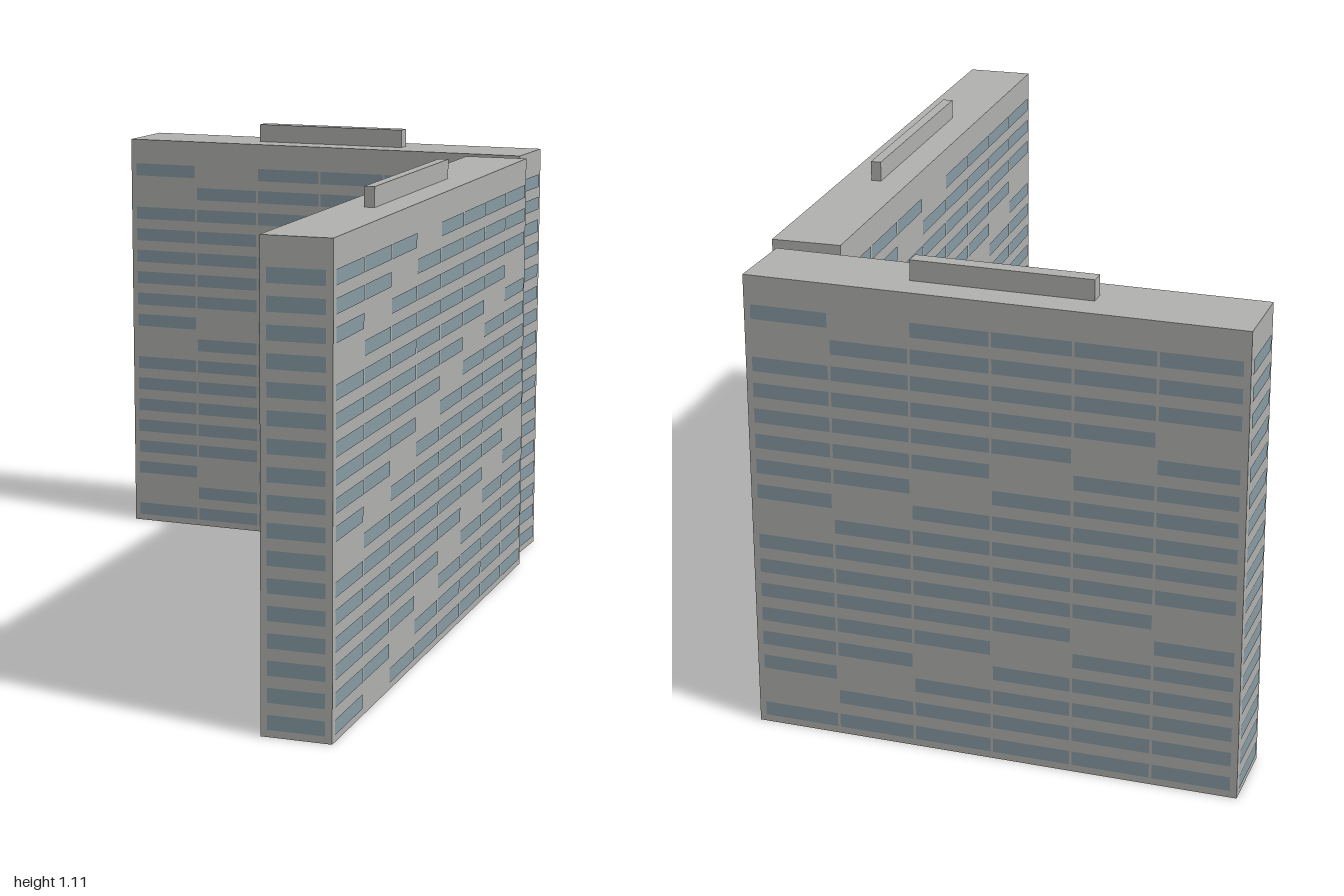
import * as THREE from 'three';
import { mergeGeometries } from 'three/addons/utils/BufferGeometryUtils.js';

const HEIGHT = 1.065, FLOORS = 17, FLOOR_STEP = 0.0594, FIRST_FLOOR = 0.033;
const MARGIN = 0.012, GAP = 0.006, WINDOW_HEIGHT = 0.033, OFFSET = 0.0015;

// Box without its underside, standing on y = base
function openBox(length, height, depth, base) {
  const g = new THREE.BoxGeometry(length, height, depth);
  const index = Array.from(g.index.array);
  index.splice(18, 6);
  g.setIndex(index);
  g.clearGroups();
  return g.translate(0, base + height / 2, 0);
}

// Window bands of one facade; a blank bay steps sideways on each floor
function windowBands(width, bays, blank) {
  const pitch = (width - 2 * MARGIN) / bays;
  const panes = [];
  for (let floor = 0; floor < FLOORS; floor++) {
    for (let bay = 0; bay < bays; bay++) {
      const fromTop = FLOORS - 1 - floor;
      if (blank !== null && (bay + fromTop) % 7 === blank) continue;
      const pane = new THREE.PlaneGeometry(pitch - GAP, WINDOW_HEIGHT);
      pane.translate(-width / 2 + MARGIN + (bay + 0.5) * pitch, FIRST_FLOOR + floor * FLOOR_STEP, 0);
      panes.push(pane);
    }
  }
  return mergeGeometries(panes);
}

export function createModel() {
  const wall = new THREE.MeshStandardMaterial({ color: 0xb2b2b0, side: THREE.DoubleSide });
  wall.name = 'concrete';
  const glass = new THREE.MeshStandardMaterial({ color: 0x889ca5 });
  glass.name = 'glass';

  const model = new THREE.Group();
  model.name = 'slabBuildings';

  function addMesh(parent, name, geometry, material) {
    const mesh = new THREE.Mesh(geometry, material);
    mesh.name = name;
    parent.add(mesh);
    return mesh;
  }

  function addBlock(o) {
    const block = new THREE.Group();
    block.name = o.name;
    addMesh(block, 'walls', openBox(o.length, HEIGHT, o.depth, 0), wall);
    addMesh(block, 'roofHousing', openBox(o.roof[0], 0.046, o.roof[1], HEIGHT), wall);
    // Two long facades and two end walls
    for (let side = 0; side < 4; side++) {
      const isEnd = side % 2 === 1;
      const bands = isEnd ? windowBands(o.depth, 1, null) : windowBands(o.length, o.bays, o.blank);
      bands.translate(0, 0, (isEnd ? o.length : o.depth) / 2 + OFFSET);
      bands.rotateY(side * Math.PI / 2);
      addMesh(block, isEnd ? 'endWindows' : 'facadeWindows', bands, glass);
    }
    block.position.set(o.x, 0, o.z);
    block.rotation.y = o.turn;
    model.add(block);
  }

  addBlock({
    name: 'rearBlock', length: 1.104, depth: 0.182, roof: [0.405, 0.036],
    bays: 6, blank: 1, x: -0.002, z: -0.767, turn: -0.266,
  });
  addBlock({
    name: 'frontBlock', length: 1.511, depth: 0.159, roof: [0.565, 0.024],
    bays: 8, blank: 3, x: 0.28, z: 0.244, turn: 1.347,
  });

  return model;
}
